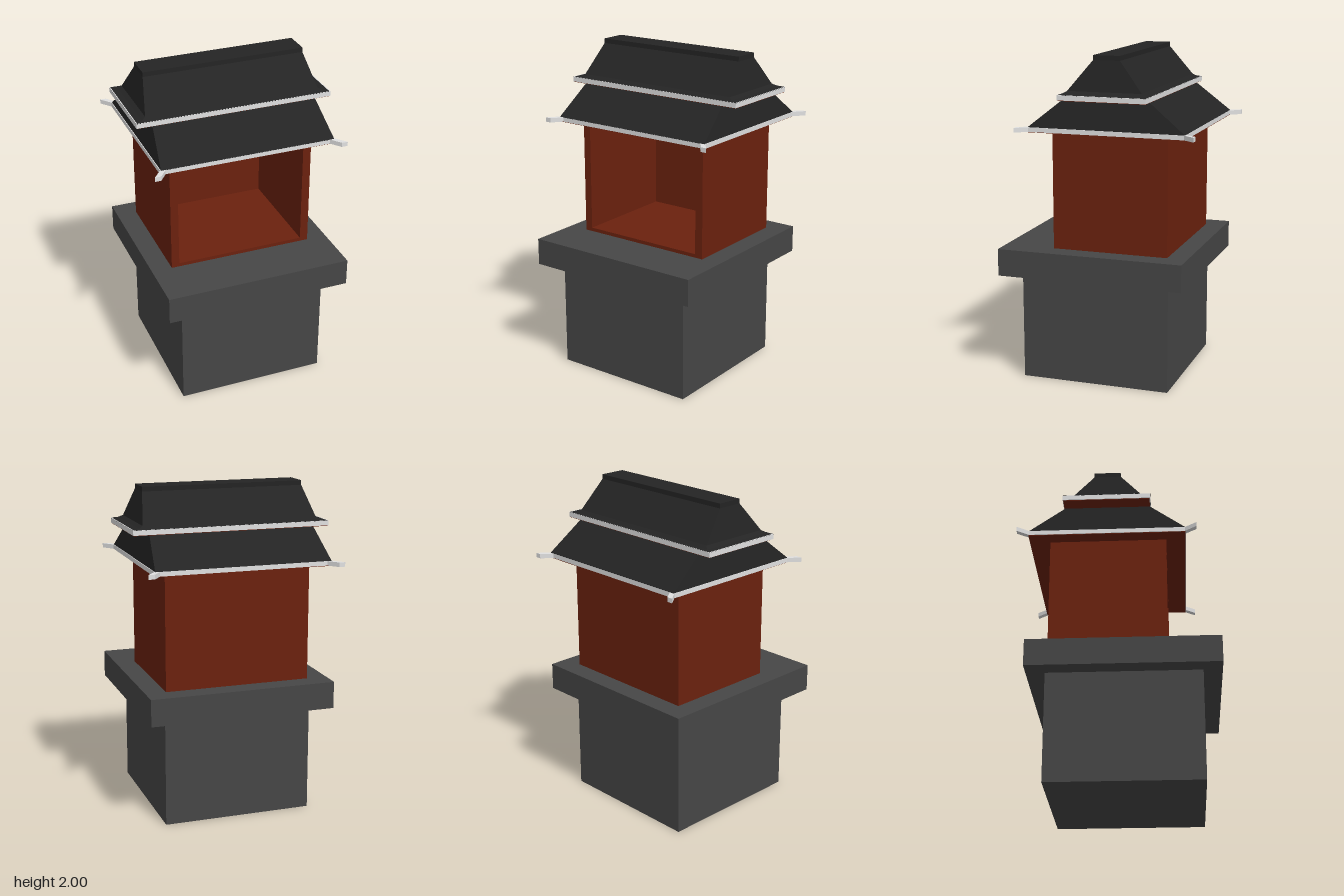
import * as THREE from 'three';

const flat = (name, color) => {
  const m = new THREE.MeshStandardMaterial({ color });
  m.name = name;
  return m;
};

// Corners of a rectangle, counter-clockwise seen from above
const rect = (x0, x1, z0, z1) => [[x0, z1], [x1, z1], [x1, z0], [x0, z0]];

// Closed solid through horizontal four-cornered rings, listed bottom to top
function loft(rings) {
  const pos = [];
  const quad = (a, b, c, d) => pos.push(...a, ...b, ...c, ...a, ...c, ...d);
  const pts = rings.map(([y, corners]) => corners.map(([x, z]) => [x, y, z]));
  for (let r = 0; r < pts.length - 1; r++) {
    for (let i = 0; i < 4; i++) {
      const j = (i + 1) % 4;
      quad(pts[r][i], pts[r][j], pts[r + 1][j], pts[r + 1][i]);
    }
  }
  quad(...pts[0].slice().reverse());
  quad(...pts[pts.length - 1]);
  const g = new THREE.BufferGeometry();
  g.setAttribute('position', new THREE.Float32BufferAttribute(pos, 3));
  g.computeVertexNormals();
  return g;
}

const block = (x0, x1, y0, y1, z0, z1) =>
  loft([[y0, rect(x0, x1, z0, z1)], [y1, rect(x0, x1, z0, z1)]]);

export function createModel() {
  const stone = flat('grey stone', 0x464646);
  const wood = flat('red brown wood', 0x6b210e);
  const tile = flat('black roof', 0x242424);
  const white = flat('white trim', 0xe0e0e0);

  const model = new THREE.Group();
  model.name = 'shrine';
  const add = (name, geometry, material) => {
    const mesh = new THREE.Mesh(geometry, material);
    mesh.name = name;
    model.add(mesh);
    return mesh;
  };

  // Stone pedestal and slab
  add('pedestal', block(-0.46, 0.455, 0, 0.665, -0.425, 0.495), stone);
  add('slab', block(-0.573, 0.57, 0.665, 0.83, -0.537, 0.606), stone);

  // Hollow cabinet, open at the front
  const outline = new THREE.Shape([
    [-0.448, 0.83], [0.445, 0.83], [0.445, 1.546], [-0.448, 1.546],
  ].map(([x, y]) => new THREE.Vector2(x, y)));
  outline.holes.push(new THREE.Path([
    [-0.4, 0.852], [-0.4, 1.505], [0.395, 1.505], [0.395, 0.852],
  ].map(([x, y]) => new THREE.Vector2(x, y))));
  const shell = new THREE.ExtrudeGeometry(outline, { depth: 0.664, bevelEnabled: false });
  add('cabinetWalls', shell.translate(0, 0, -0.37), wood);
  add('cabinetBack', block(-0.448, 0.445, 0.83, 1.546, -0.415, -0.37), wood);

  // Lower roof with soffit and trim
  add('lowerSoffit', block(-0.536, 0.536, 1.543, 1.547, -0.54, 0.41), wood);
  add('lowerTrim', block(-0.54, 0.54, 1.546, 1.573, -0.541, 0.413), white);
  add('lowerRoof', loft([
    [1.572, rect(-0.536, 0.536, -0.541, 0.414)],
    [1.75, rect(-0.508, 0.505, -0.315, 0.19)],
  ]), tile);

  // Flared corner tips of the lower trim
  for (const sx of [-1, 1]) {
    for (const sz of [-1, 1]) {
      const z0 = sz > 0 ? 0.408 : -0.536;
      const z1 = sz > 0 ? 0.476 : -0.605;
      const corners = [[sx * 0.505, z0], [sx * 0.556, z1], [sx * 0.593, z1], [sx * 0.54, z0]];
      if (sx * sz < 0) corners.reverse();
      add('cornerTip', loft([[1.546, corners], [1.573, corners]]), white);
    }
  }

  // Upper roof with soffit, trim, flared foot and ridge cap
  add('upperSoffit', block(-0.6, 0.6, 1.744, 1.748, -0.327, 0.198), wood);
  add('upperTrim', block(-0.605, 0.603, 1.747, 1.777, -0.33, 0.202), white);
  add('upperRoof', loft([
    [1.776, rect(-0.606, 0.604, -0.331, 0.203)],
    [1.782, rect(-0.565, 0.562, -0.31, 0.182)],
    [1.795, rect(-0.54, 0.536, -0.287, 0.163)],
    [1.972, rect(-0.501, 0.497, -0.144, 0.018)],
    [2, rect(-0.501, 0.497, -0.144, 0.018)],
  ]), tile);

  return model;
}
